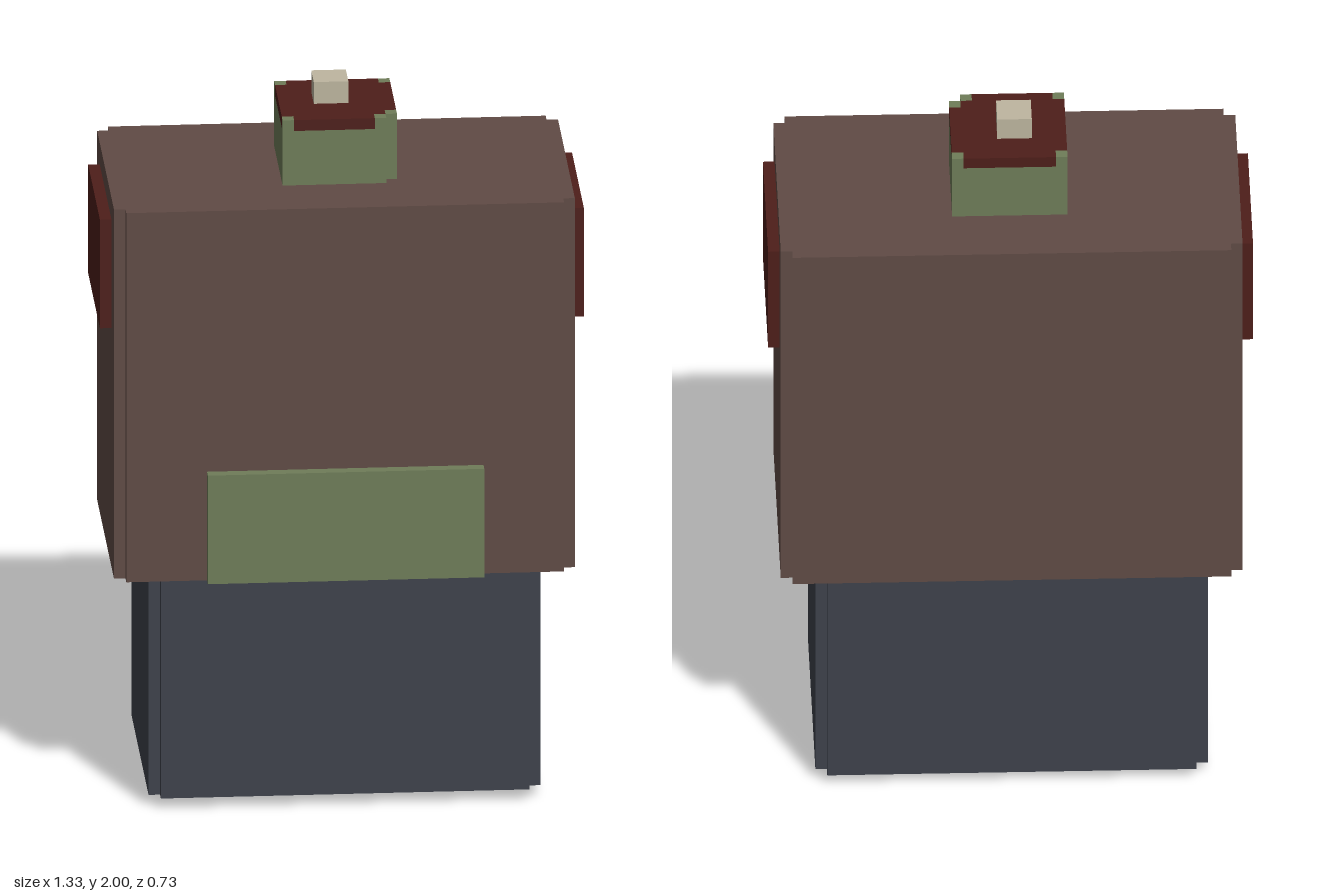
import * as THREE from 'three';

const U = 2 / 63; // one voxel
const mat = (color) => new THREE.MeshStandardMaterial({ color, flatShading: true });
const BROWN = mat(0x604b45), SLATE = mat(0x3e424c), GREEN = mat(0x6f7d59),
  RED = mat(0x4e1e1a), CREAM = mat(0xbeb6a0);

// Box between two corners, in voxels
function box(name, material, [x0, y0, z0], [x1, y1, z1]) {
  const geo = new THREE.BoxGeometry((x1 - x0) * U, (y1 - y0) * U, (z1 - z0) * U);
  const mesh = new THREE.Mesh(geo, material);
  mesh.name = name;
  mesh.position.set((x0 + x1) / 2 * U, (y0 + y1) / 2 * U, (z0 + z1) / 2 * U);
  return mesh;
}

// Upright prism from a floor plan of [x, z] points, in voxels
function prism(name, material, plan, y0, y1) {
  const shape = new THREE.Shape(plan.map(([x, z]) => new THREE.Vector2(x * U, -z * U)));
  const geo = new THREE.ExtrudeGeometry(shape, { depth: (y1 - y0) * U, bevelEnabled: false });
  geo.rotateX(-Math.PI / 2);
  const mesh = new THREE.Mesh(geo, material);
  mesh.name = name;
  mesh.position.y = y0 * U;
  return mesh;
}

// Rectangle with every corner cut in by one voxel
const notched = (x, z0, z1) => [
  [-x, z0 + 1], [-x, z1 - 1], [1 - x, z1 - 1], [1 - x, z1],
  [x - 1, z1], [x - 1, z1 - 1], [x, z1 - 1], [x, z0 + 1],
  [x - 1, z0 + 1], [x - 1, z0], [1 - x, z0], [1 - x, z0 + 1],
];

export function createModel() {
  const model = new THREE.Group();
  model.name = 'blockFigure';

  // Trunk and trousers
  model.add(prism('torso', BROWN, notched(20, -11.5, 10.5), 21, 55));
  model.add(prism('trousers', SLATE, notched(17, -11.5, 10.5), 1, 21));
  model.add(box('bellyPanel', GREEN, [-12, 21, 10.5], [12, 31, 11.5]));

  // Feet and shoulder patches
  for (const [side, s] of [['left', 1], ['right', -1]]) {
    const span = (a, b) => (s > 0 ? [a, b] : [-b, -a]);
    const [f0, f1] = span(1, 16), [p0, p1] = span(20, 21);
    model.add(box(side + 'Foot', RED, [f0, 0, -7.5], [f1, 1, 6.5]));
    model.add(box(side + 'ShoulderPatch', RED, [p0, 43, -7.5], [p1, 53, 6.5]));
  }

  // Head, with its front left corner cut away
  const head = new THREE.Group();
  head.name = 'head';
  head.add(prism('headBlock', GREEN,
    [[-5, -5.5], [-5, 4.5], [4, 4.5], [4, 3.5], [5, 3.5], [5, -5.5]], 55, 60));

  // Cap set between small corner posts
  head.add(prism('cap', RED, [
    [-5, -4.5], [-5, 3.5], [-4, 3.5], [-4, 4.5], [3, 4.5], [3, 3.5], [4, 3.5], [4, 2.5],
    [5, 2.5], [5, -4.5], [4, -4.5], [4, -5.5], [-4, -5.5], [-4, -4.5],
  ], 60, 61));
  for (const [x, z] of [[-5, -5.5], [4, -5.5], [-5, 3.5], [3, 3.5], [4, 2.5]])
    head.add(box('cornerPost', GREEN, [x, 60, z], [x + 1, 61, z + 1]));

  // Small knob on the cap
  head.add(box('capKnob', CREAM, [-2, 61, -2.5], [1, 63, 0.5]));
  model.add(head);
  return model;
}
